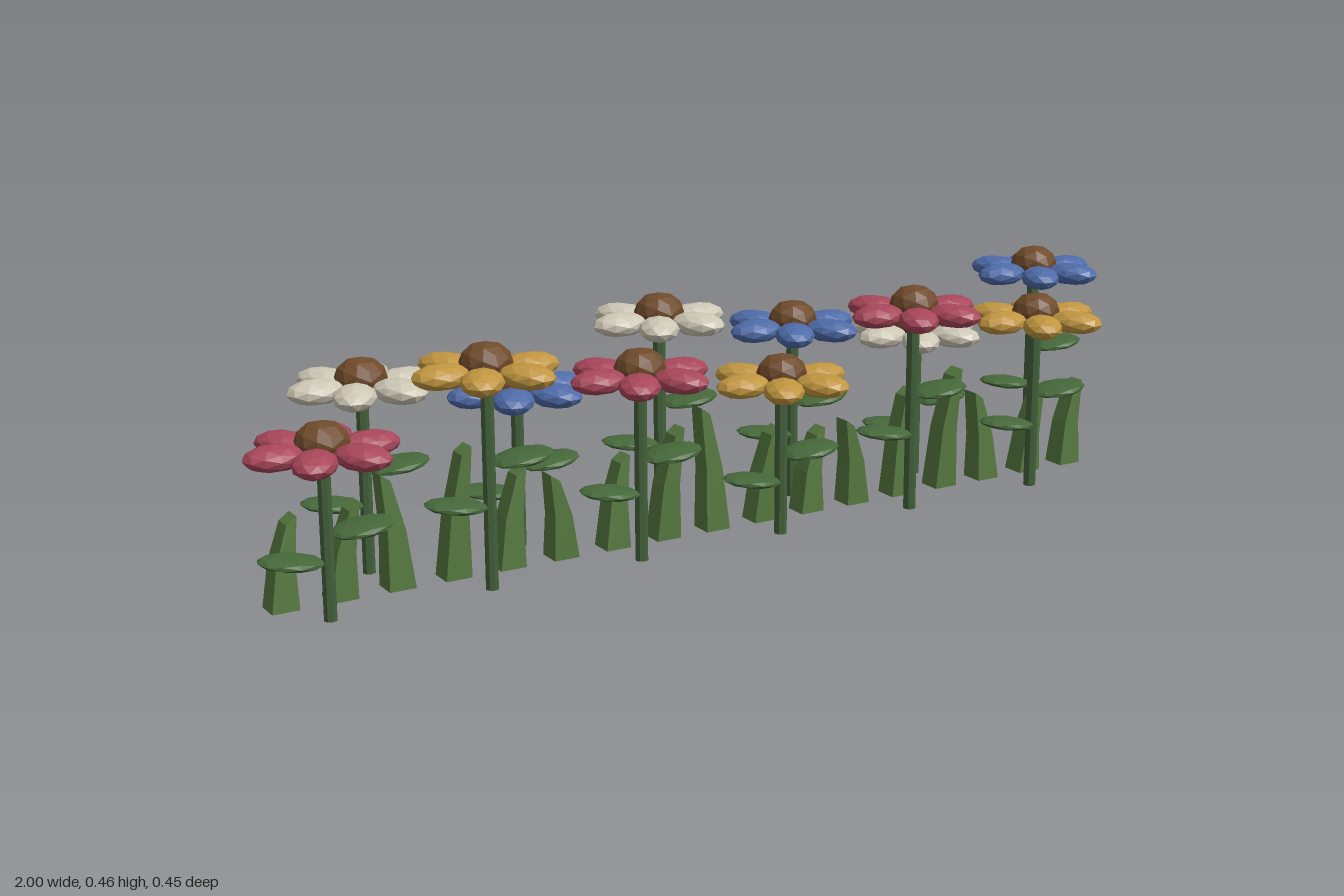
import * as THREE from 'three';

const mat = (color) => new THREE.MeshStandardMaterial({ color, flatShading: true });

const stemMat = mat(0x42603a);
const leafMat = mat(0x46683a);
const grassMat = mat(0x55783f);
const heartMat = mat(0x6f4a2a);
const petalMats = [0xa8465a, 0xccc6b4, 0xc0953f, 0x4e6ba8].map(mat); // red, white, yellow, blue

// Faceted pebble, squashed into petals, leaves and flower hearts
const pebble = new THREE.IcosahedronGeometry(1, 1);

function blob(name, material, size, position) {
  const mesh = new THREE.Mesh(pebble, material);
  mesh.name = name;
  mesh.scale.set(...size);
  mesh.position.set(...position);
  return mesh;
}

// One flower: stem, two opposite leaves, six petals and a domed heart
function createFlower(level, petalMat) {
  const flower = new THREE.Group();
  flower.name = 'flower';
  const headY = 0.31 + 0.05 * level;

  const stem = new THREE.Mesh(new THREE.CylinderGeometry(0.0125, 0.0125, headY, 8), stemMat);
  stem.name = 'stem';
  stem.position.y = headY / 2;
  flower.add(stem);

  const leafHeights = { 1: 0.16 + 0.04 * level, '-1': 0.118 + 0.025 * level };
  for (const side of [1, -1]) {
    const leaf = blob('leaf', leafMat, [0.06, 0.012, 0.05], [side * 0.067, leafHeights[side], 0]);
    leaf.rotation.z = side * 0.12;
    flower.add(leaf);
  }

  const head = new THREE.Group();
  head.name = 'flowerHead';
  head.position.y = headY - 0.002;
  for (let i = 0; i < 6; i++) {
    const arm = new THREE.Group();
    arm.name = 'petalArm';
    arm.rotation.y = (i * Math.PI) / 3;
    arm.add(blob('petal', petalMat, [0.057, 0.0235, 0.04], [0.086, 0, 0]));
    head.add(arm);
  }
  head.add(blob('flowerHeart', heartMat, [0.049, 0.038, 0.049], [0, 0.016, 0]));
  flower.add(head);
  return flower;
}

// Grass blade: a box narrowed and leaned towards a slanted tip
function createBlade(height, lean, twist) {
  const geo = new THREE.BoxGeometry(0.052, height, 0.05, 1, 2, 1);
  geo.translate(0, height / 2, 0);
  const p = geo.attributes.position;
  for (let i = 0; i < p.count; i++) {
    const t = p.getY(i) / height;
    const x = p.getX(i) * (1 - 0.62 * t) + lean * t * t;
    const z = p.getZ(i) * (1 - 0.25 * t) + twist * t;
    const slant = t > 0.9 ? Math.sign(p.getX(i)) * Math.sign(lean) * 0.007 - 0.007 : 0;
    p.setXYZ(i, x, p.getY(i) + slant, z);
  }
  geo.computeVertexNormals();
  const blade = new THREE.Mesh(geo, grassMat);
  blade.name = 'grassBlade';
  return blade;
}

export function createModel() {
  const group = new THREE.Group();
  group.name = 'flowerBed';

  // Two staggered rows, stems rising in repeating steps of three
  for (let i = 0; i < 12; i++) {
    const flower = createFlower(i % 3, petalMats[i % 4]);
    flower.position.set((i - 5.5) * 0.1558, 0, i % 2 ? -0.1 : 0.1);
    group.add(flower);
  }

  // Grass along the middle
  const heights = [0.17, 0.18, 0.22, 0.25, 0.19];
  const leans = [0.022, 0.025, -0.022];
  for (let i = 0; i < 17; i++) {
    const blade = createBlade(heights[i % 5], leans[i % 3], i % 2 ? 0.006 : -0.005);
    blade.position.x = -0.91 + i * 0.1115;
    group.add(blade);
  }
  return group;
}
